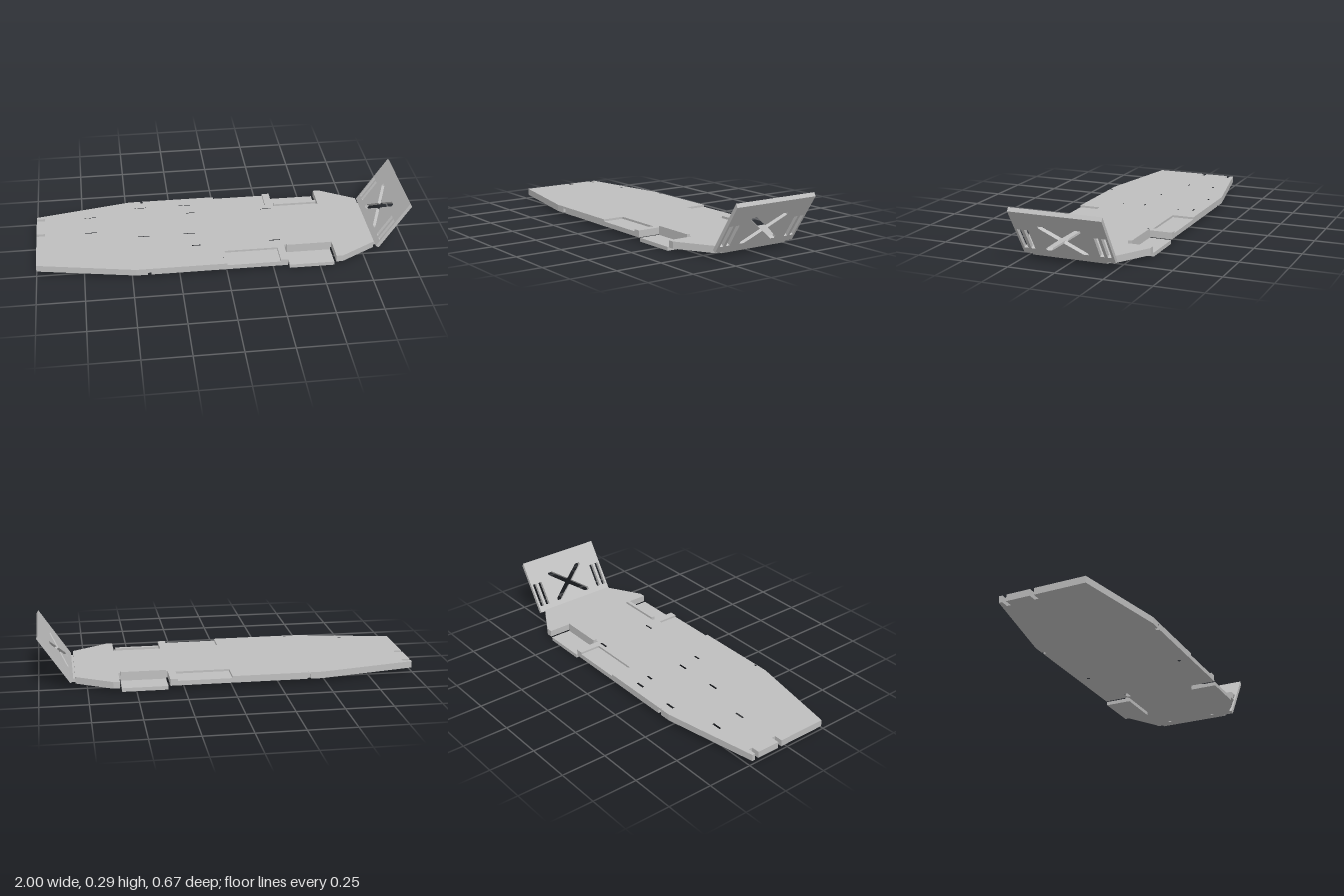
import * as THREE from 'three';

export function createModel() {
  const model = new THREE.Group();
  model.name = 'skidPlate';
  const grey = new THREE.MeshStandardMaterial({ color: 0xbebebe });
  grey.name = 'plain grey';

  const add = (name, geometry) => {
    const mesh = new THREE.Mesh(geometry, grey);
    mesh.name = name;
    model.add(mesh);
    return mesh;
  };
  const toShape = (pts) => new THREE.Shape(pts.map(([a, b]) => new THREE.Vector2(a, b)));
  const toHole = (pts) => new THREE.Path(pts.map(([a, b]) => new THREE.Vector2(a, b)));
  const rectHole = (x, y, w, h) => toHole([
    [x - w / 2, y - h / 2], [x - w / 2, y + h / 2], [x + w / 2, y + h / 2], [x + w / 2, y - h / 2],
  ]);
  const roundHole = (x, y, r) => new THREE.Path().absarc(x, y, r, 0, Math.PI * 2, true);
  const box = (name, x0, x1, y0, y1, z0, z1) => {
    const g = new THREE.BoxGeometry(x1 - x0, y1 - y0, z1 - z0);
    g.translate((x0 + x1) / 2, (y0 + y1) / 2, (z0 + z1) / 2);
    return add(name, g);
  };

  // Mounting slots [x, z, length] and mirrored screw holes [x, |z|]
  const slots = [
    [-0.705, -0.206, 0.065], [-0.705, -0.053, 0.065],
    [-0.42, -0.275, 0.065], [-0.17, -0.275, 0.065],
    [-0.42, 0.016, 0.065], [-0.17, 0.016, 0.065],
    [-0.144, -0.192, 0.05], [-0.144, 0.136, 0.05],
    [0.283, -0.184, 0.065], [0.283, 0.136, 0.065],
  ];
  const screws = [[-0.72, 0.256], [-0.013, 0.272], [0.604, 0.173], [0.775, 0.136]];

  // One layer of the main plate; sideCuts are the extra cutouts along each long edge
  const plateLayer = (name, y0, y1, sideCuts, edgeHoles) => {
    const side = [
      [-1, 0.235], [-0.48, 0.335], ...sideCuts,
      [0.325, 0.335], [0.325, 0.197], [0.585, 0.197], [0.585, 0.335],
      [0.62, 0.335], [0.81, 0.225],
    ];
    const mirrored = side.map(([x, p]) => [x, -p]).reverse();
    const endNotches = [0.053, 0.206].flatMap((p) => [
      [-1, p - 0.011], [-0.955, p - 0.011], [-0.955, p + 0.011], [-1, p + 0.011],
    ]);
    const shape = toShape([...side, ...mirrored, ...endNotches]);
    for (const [x, z, w] of slots) shape.holes.push(rectHole(x, -z, w, 0.022));
    for (const s of [-1, 1]) {
      for (const [x, z] of screws) shape.holes.push(roundHole(x, s * z, 0.009));
      if (edgeHoles) shape.holes.push(roundHole(-0.41, s * 0.324, 0.008));
    }
    const g = new THREE.ExtrudeGeometry(shape, { depth: y1 - y0, bevelEnabled: false, curveSegments: 8 });
    g.rotateX(-Math.PI / 2);
    g.translate(0, y0, 0);
    add(name, g);
  };
  // Lower layer has small edge notches, upper layer has the shallow pockets
  plateLayer('plateLower', 0.02, 0.045,
    [[-0.42, 0.335], [-0.42, 0.318], [-0.4, 0.318], [-0.4, 0.335]], false);
  plateLayer('plateUpper', 0.045, 0.056,
    [[0, 0.335], [0, 0.217], [0.285, 0.217], [0.285, 0.335]], true);

  // Side trays hanging below the plate, each with a raised inner wall
  for (const s of [-1, 1]) {
    const tray = box('sideTray', 0.335, 0.575, 0, 0.02, 0.192, 0.335);
    const wall = box('trayWall', 0.335, 0.575, 0.02, 0.068, 0.197, 0.217);
    if (s < 0) for (const m of [tray, wall]) m.geometry.translate(0, 0, -(m === tray ? 0.527 : 0.414));
  }

  // Hinge strip joining the plate to the tilted panel
  box('panelHinge', 0.805, 0.825, 0.02, 0.04, -0.2, 0.2);

  // Tilted end panel, drawn by height on its outer face
  const up = new THREE.Vector3(0.17, 0.256, 0).normalize();
  const normal = new THREE.Vector3(-up.y, up.x, 0);
  const along = (y) => (y - 0.02) / up.y;
  const byHeight = (pts) => pts.map(([z, y]) => [z, along(y)]);
  const panel = toShape(byHeight([
    [-0.2, 0.02], [0.2, 0.02], [0.2, 0.03], [0.245, 0.03],
    [0.245, 0.276], [-0.245, 0.276], [-0.245, 0.03], [-0.2, 0.03],
  ]));
  for (const s of [-1, 1]) {
    for (const z of [0.184, 0.222]) {
      panel.holes.push(rectHole(s * z, along(0.116), 0.022, 0.112 / up.y));
    }
  }
  // X-shaped cutout
  panel.holes.push(toHole(byHeight([
    [-0.112, 0.203], [-0.084, 0.203], [0, 0.148], [0.084, 0.203], [0.112, 0.203], [0.112, 0.192],
    [0.024, 0.132], [0.112, 0.071], [0.112, 0.06], [0.084, 0.06], [0, 0.116],
    [-0.084, 0.06], [-0.112, 0.06], [-0.112, 0.071], [-0.024, 0.132], [-0.112, 0.192],
  ])));
  const thickness = 0.019;
  const g = new THREE.ExtrudeGeometry(panel, { depth: thickness, bevelEnabled: false });
  // Slant the top edge by lengthening the inner face
  const pos = g.attributes.position;
  for (let i = 0; i < pos.count; i++) {
    if (pos.getZ(i) > thickness / 2 && pos.getY(i) > along(0.27)) pos.setY(i, pos.getY(i) + 0.01);
  }
  g.computeVertexNormals();
  g.applyMatrix4(new THREE.Matrix4()
    .makeBasis(new THREE.Vector3(0, 0, 1), up, normal)
    .setPosition(0.83, 0.02, 0));
  add('tiltedPanel', g);

  return model;
}
